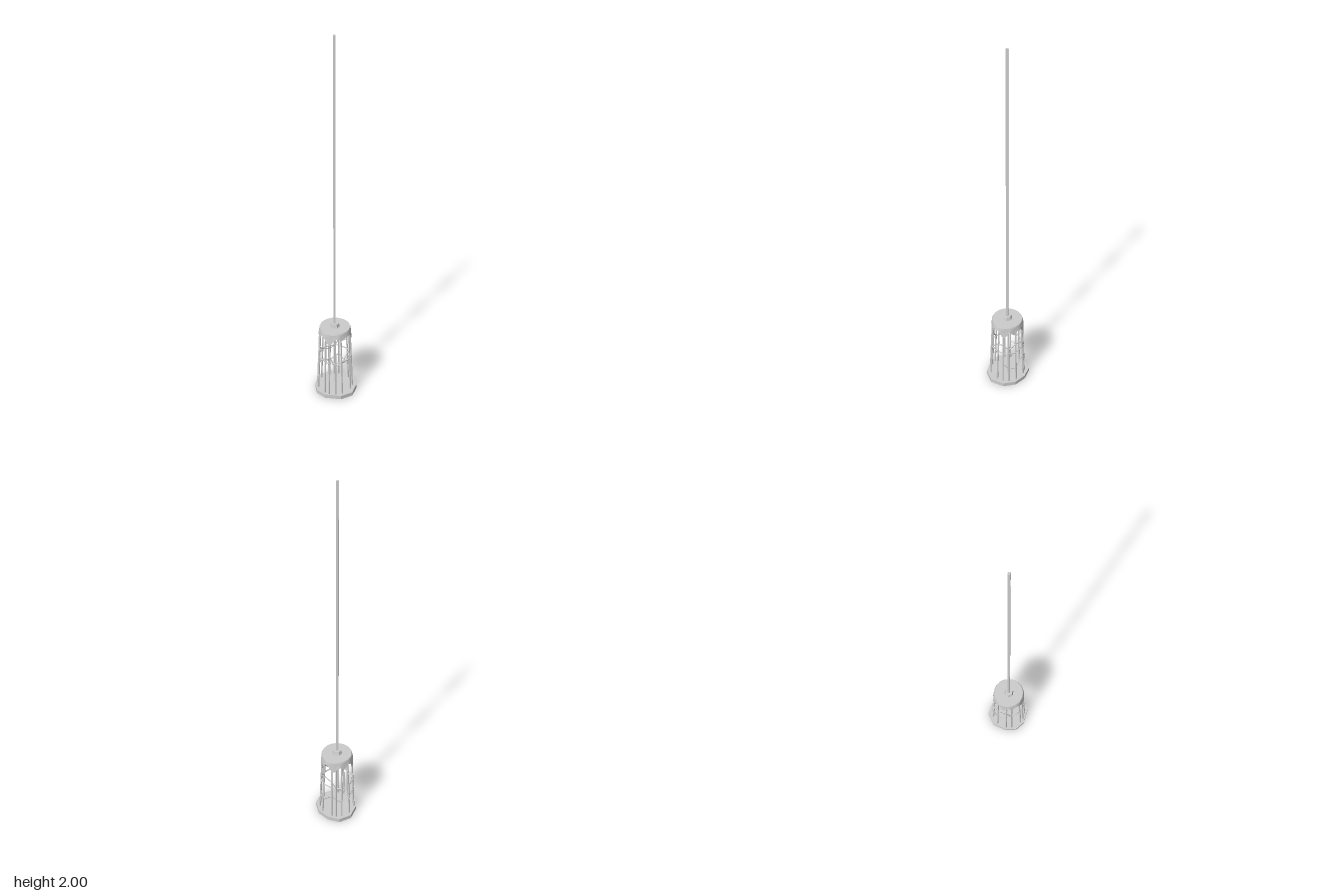
import * as THREE from 'three';

const grey = new THREE.MeshStandardMaterial({ color: 0xcccccc, flatShading: true, side: THREE.DoubleSide });
const CX = -0.006, CZ = 0.003;

function add(parent, name, geometry, x = 0, y = 0, z = 0) {
  const mesh = new THREE.Mesh(geometry, grey);
  mesh.name = name;
  mesh.position.set(x, y, z);
  parent.add(mesh);
  return mesh;
}

// Thin straight strut between two points
function strut(parent, name, a, b, radius) {
  const dir = b.clone().sub(a);
  const mesh = add(parent, name, new THREE.CylinderGeometry(radius, radius, dir.length(), 5));
  mesh.position.copy(a).addScaledVector(dir, 0.5);
  mesh.quaternion.setFromUnitVectors(new THREE.Vector3(0, 1, 0), dir.normalize());
}

// Cage bars: angle in degrees, height of upper web, height of lower web (0 = gap)
const BARS = [
  [-15, 0.25, 0.11], [3, 0.275, 0.14], [25, 0.28, 0], [63, 0.22, 0], [85, 0.2, 0],
  [107, 0.26, 0], [122, 0.22, 0], [160, 0.22, 0], [180, 0.265, 0.15], [215, 0.22, 0.15],
  [245, 0.2, 0.12], [264, 0.22, 0.14], [280, 0.26, 0.165], [318, 0.28, 0.11],
];

// Point on the slightly flared cage wall
function cagePoint(degrees, y) {
  const a = THREE.MathUtils.degToRad(degrees);
  const r = THREE.MathUtils.lerp(0.097, 0.082, y / 0.38);
  return new THREE.Vector3(CX + r * Math.cos(a), y, CZ + r * Math.sin(a));
}

// Uneven hanging edge of the cap: [angle, half width, depth] of each drip
const DRIPS = [
  [2, 24, 0.042], [60, 16, 0.015], [108, 26, 0.042], [158, 18, 0.02],
  [190, 22, 0.04], [235, 20, 0.02], [275, 26, 0.04], [325, 18, 0.025],
];
function dripDepth(degrees) {
  let depth = 0.022;
  for (const [centre, width, extra] of DRIPS) {
    const d = Math.abs(((degrees - centre + 540) % 360) - 180);
    if (d < width) depth = Math.max(depth, 0.022 + extra * (0.5 + 0.5 * Math.cos(Math.PI * d / width)));
  }
  return depth;
}

function capSkirt() {
  const geometry = new THREE.CylinderGeometry(0.084, 0.089, 1, 40, 1, true);
  const p = geometry.attributes.position;
  for (let i = 0; i < p.count; i++) {
    const degrees = THREE.MathUtils.radToDeg(Math.atan2(p.getZ(i), p.getX(i)));
    p.setY(i, p.getY(i) > 0 ? 0 : -dripDepth((degrees + 360) % 360));
  }
  geometry.computeVertexNormals();
  return geometry;
}

export function createModel() {
  const model = new THREE.Group();
  model.name = 'hangingCageLamp';

  // Rough ten-sided base plate
  const outline = [
    [-0.037, -0.117], [0.03, -0.105], [0.088, -0.063], [0.115, 0.003], [0.094, 0.077],
    [0.033, 0.114], [-0.055, 0.105], [-0.103, 0.066], [-0.116, 0.003], [-0.096, -0.075],
  ].map(([x, z]) => new THREE.Vector2(x, -z));
  const plate = new THREE.ExtrudeGeometry(new THREE.Shape(outline), { depth: 0.022, bevelEnabled: false });
  add(model, 'basePlate', plate.rotateX(-Math.PI / 2));

  // Cap with a dripping rim
  const cap = new THREE.Group();
  cap.name = 'cap';
  cap.position.set(CX, 0, CZ);
  model.add(cap);
  add(cap, 'capTop', new THREE.CylinderGeometry(0.081, 0.084, 0.008, 40), 0, 0.403, 0);
  add(cap, 'capSkirt', capSkirt(), 0, 0.4, 0);

  // Hexagonal collar and square rod
  const collar = new THREE.CylinderGeometry(0.022, 0.028, 0.02, 6).rotateY(Math.PI / 6 * 3);
  add(model, 'collar', collar, -0.007, 0.416, 0.004);
  add(model, 'rod', new THREE.BoxGeometry(0.012, 1.58, 0.012), -0.008, 1.21, 0.004);

  // Cage: upright bars, a level ring and two wandering webs
  const cage = new THREE.Group();
  cage.name = 'cage';
  model.add(cage);
  BARS.forEach(([angle, upper, lower], i) => {
    const [nextAngle, nextUpper, nextLower] = BARS[(i + 1) % BARS.length];
    const lean = 3 * Math.sin(i * 2.3);
    const foot = cagePoint(angle, 0.02);
    const knee = cagePoint(angle + lean * 0.3, 0.22);
    strut(cage, 'cageBarLower', foot, knee, 0.0048);
    strut(cage, 'cageBarUpper', knee, cagePoint(angle + lean, 0.385), 0.0045);
    strut(cage, 'cageRing', knee, cagePoint(nextAngle, 0.222), 0.004);
    strut(cage, 'upperWeb', cagePoint(angle, upper), cagePoint(nextAngle, nextUpper), 0.0035);
    if (lower && nextLower) {
      strut(cage, 'lowerWeb', cagePoint(angle, lower), cagePoint(nextAngle, nextLower), 0.0035);
    }
  });

  return model;
}
